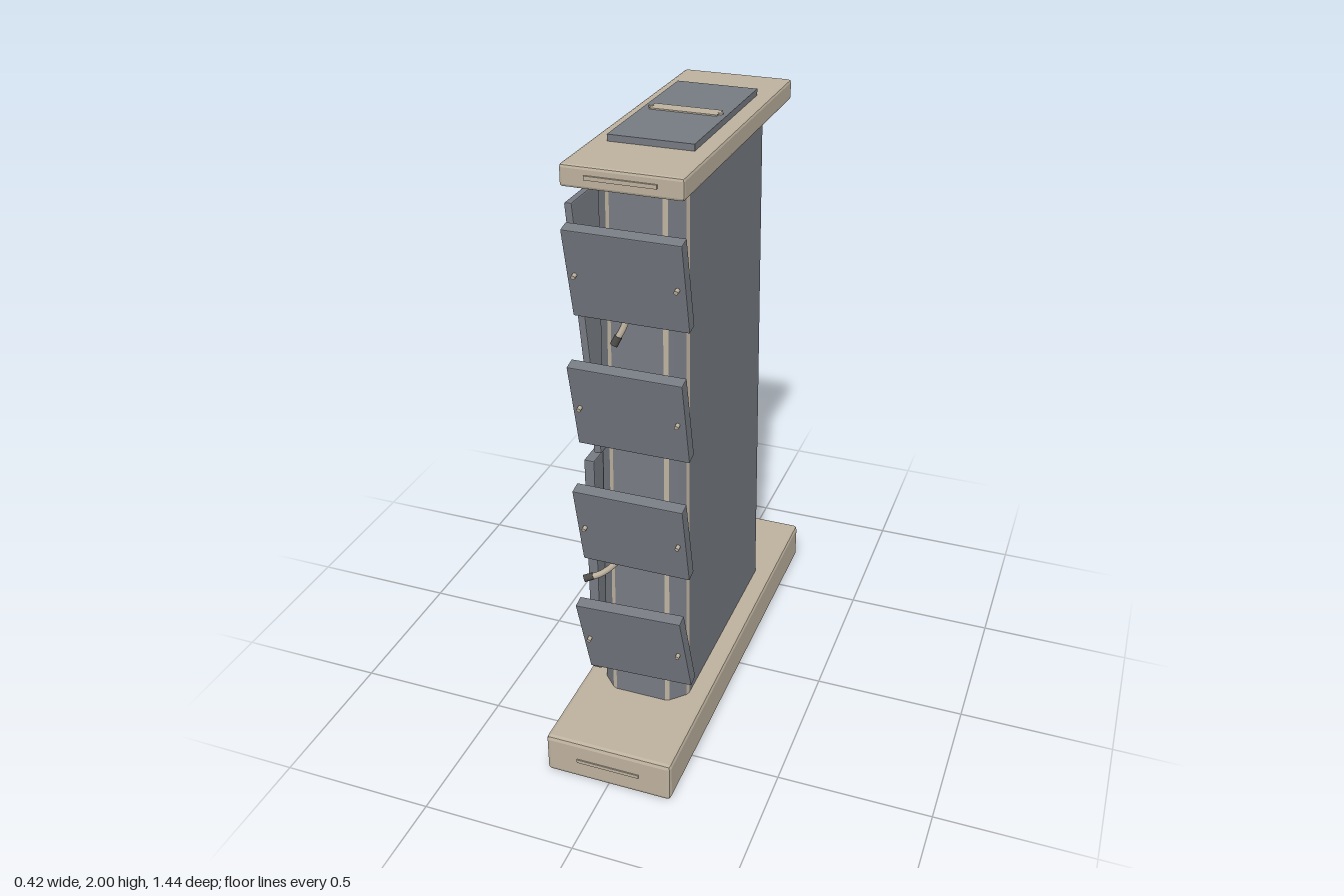
import * as THREE from 'three';
import { mergeGeometries } from 'three/addons/utils/BufferGeometryUtils.js';
import { RoundedBoxGeometry } from 'three/addons/geometries/RoundedBoxGeometry.js';

const mat = (name, color) => {
  const m = new THREE.MeshStandardMaterial({ color });
  m.name = name;
  return m;
};

export function createModel() {
  const model = new THREE.Group();
  model.name = 'tower';
  const cream = mat('cream', 0xbdb19e);
  const grey = mat('slate grey', 0x767a81);
  const dark = mat('dark grey', 0x4c4b48);

  const add = (name, geo, material, x = 0, y = 0, z = 0, parent = model) => {
    const m = new THREE.Mesh(geo, material);
    m.name = name;
    m.position.set(x, y, z);
    parent.add(m);
    return m;
  };
  const box = (w, h, d) => new THREE.BoxGeometry(w, h, d);
  // Box with chamfered, flat edges
  const slab = (w, h, d, bevel) => {
    const g = new RoundedBoxGeometry(w, h, d, 1, bevel).toNonIndexed();
    g.computeVertexNormals();
    return g;
  };

  // Base and top slab, each with a slim strip on its front
  add('base', slab(0.424, 0.14, 1.436, 0.014), cream, 0, 0.07, 0);
  add('baseStrip', box(0.21, 0.012, 0.006), cream, 0, 0.07, 0.719);
  add('topSlab', slab(0.36, 0.065, 1.0, 0.009), cream, 0, 1.9425, 0);
  add('topSlabStrip', box(0.21, 0.012, 0.012), cream, 0, 1.945, 0.5);

  // Plate and clamp bar on top
  add('topPlate', box(0.26, 0.02, 0.57), grey, 0, 1.985, -0.005);
  add('clampBar', box(0.21, 0.004, 0.05), cream, 0, 1.997, -0.005);
  for (const s of [-1, 1]) {
    add('clampScrew', new THREE.CylinderGeometry(0.008, 0.008, 0.005, 8), cream, s * 0.108, 1.9975, -0.005);
  }

  // Octagonal outline, each corner split in two to leave a narrow trim face
  const outline = (hx, hz, cx, cz) => {
    const c = [[hx, -cz], [hx, cz], [cx, hz], [-cx, hz], [-hx, cz], [-hx, -cz], [-cx, -hz], [cx, -hz]]
      .map(([x, z]) => new THREE.Vector2(x, z));
    const pts = [];
    c.forEach((p, i) => {
      for (const q of [c[(i + 7) % 8], c[(i + 1) % 8]]) {
        pts.push(p.clone().add(q.clone().sub(p).setLength(0.008)));
      }
    });
    return pts;
  };
  const low = outline(0.148, 0.428, 0.094, 0.373);
  const high = outline(0.136, 0.396, 0.087, 0.341);
  const y0 = 0.138, y1 = 1.912;
  const walls = (parity) => {
    const v = [];
    low.forEach((a, i) => {
      if (i % 2 !== parity) return;
      const j = (i + 1) % 16, b = low[j], c = high[j], d = high[i];
      v.push(a.x, y0, a.y, d.x, y1, d.y, c.x, y1, c.y);
      v.push(a.x, y0, a.y, c.x, y1, c.y, b.x, y0, b.y);
    });
    const g = new THREE.BufferGeometry();
    g.setAttribute('position', new THREE.Float32BufferAttribute(v, 3));
    g.computeVertexNormals();
    return g;
  };
  add('bodyEdgeTrim', walls(0), cream);
  add('body', walls(1), grey);

  // Tilted front panels with two screws each; the lowest hangs askew
  [1.6525, 1.23, 0.8075, 0.385].forEach((y, i) => {
    const panel = new THREE.Group();
    panel.name = 'frontPanel';
    panel.position.set(0, y, 0.46);
    panel.rotation.set(0.22, 0, i === 3 ? 0.055 : 0);
    model.add(panel);
    add('frontPanelBoard', slab(0.355, 0.293, 0.04, 0.003), grey, 0, 0, 0, panel);
    for (const s of [-1, 1]) {
      const screw = add('panelScrew', new THREE.CylinderGeometry(0.007, 0.007, 0.018, 8), cream, s * 0.153, 0, 0.026, panel);
      screw.rotation.x = Math.PI / 2;
    }
  });

  // Side doors: two low, one perforated, one swung open at the top
  const door = () => slab(0.034, 0.805, 0.415, 0.004);
  for (const s of [-1, 1]) add('lowerSideDoor', door(), grey, -0.159, 0.605, s * 0.213);
  add('perforatedSideDoor', door(), cream, -0.159, 1.43, -0.213);
  const open = add('openSideDoor', slab(0.024, 0.8, 0.405, 0.004), grey, -0.167, 1.43, 0.205);
  open.rotation.z = 0.082;

  // Perforations narrowing downward to a point
  const dots = [];
  const columns = 17, step = 0.0225;
  for (let c = 0; c < columns; c++) {
    const u = c / (columns - 1);
    const depth = 0.12 + 0.42 * (1 - Math.abs(2 * u - 1));
    for (let r = 0; r * step < depth; r++) {
      const size = 0.0068 - 0.004 * (r * step) / depth;
      const g = new THREE.CircleGeometry(size, 6);
      g.rotateY(-Math.PI / 2);
      g.translate(-0.1768, 1.805 - r * step - (c % 2) * step / 2, -0.213 + (u - 0.5) * 0.37);
      dots.push(g);
    }
  }
  add('perforations', mergeGeometries(dots), dark);

  // Loose cables with dark plugs between the front panels
  const cable = (points) => {
    const curve = new THREE.CatmullRomCurve3(points.map((p) => new THREE.Vector3(...p)));
    add('cable', new THREE.TubeGeometry(curve, 16, 0.01, 8), cream);
    const end = curve.getPoint(1), dir = curve.getTangent(1);
    const plug = add('cablePlug', new THREE.CylinderGeometry(0.012, 0.012, 0.03, 8), dark, end.x, end.y, end.z);
    plug.quaternion.setFromUnitVectors(new THREE.Vector3(0, 1, 0), dir);
  };
  cable([[-0.02, 1.66, 0.39], [-0.02, 1.56, 0.41], [-0.03, 1.49, 0.42], [-0.052, 1.44, 0.435]]);
  cable([[-0.05, 0.71, 0.4], [-0.08, 0.65, 0.43], [-0.12, 0.615, 0.45], [-0.155, 0.603, 0.465]]);

  return model;
}
